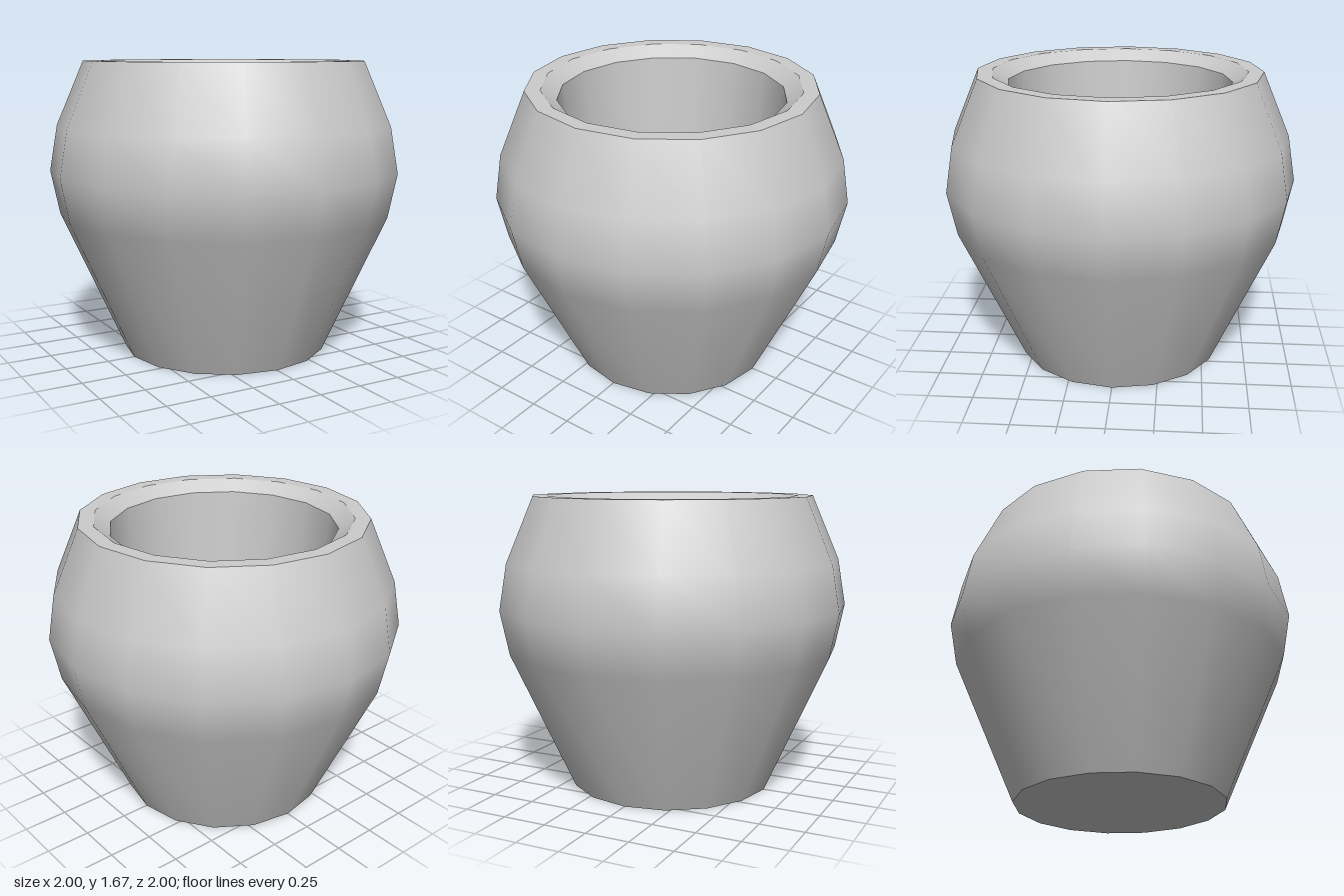
import * as THREE from 'three';

const SIDES = 16;

export function createModel() {
  const group = new THREE.Group();
  group.name = 'pot';
  const material = new THREE.MeshStandardMaterial({ color: 0xcccccc });

  // Each section is a separate lathe, so edges between sections stay sharp.
  const addRing = (name, profile) => {
    const points = profile.map(([r, y]) => new THREE.Vector2(r, y));
    const mesh = new THREE.Mesh(new THREE.LatheGeometry(points, SIDES), material);
    mesh.name = name;
    group.add(mesh);
  };

  // Profiles run from the base centre, up the outside and down the inside.
  addRing('base', [[0, 0], [0.59, 0]]);
  addRing('body', [[0.59, 0], [0.95, 0.8], [1, 1.05], [0.955, 1.31], [0.8, 1.67]]);
  addRing('rim', [[0.8, 1.67], [0.715, 1.67]]);
  addRing('rimBevel', [[0.715, 1.67], [0.63, 1.61]]);
  addRing('innerWall', [[0.63, 1.61], [0.52, 0.15]]);
  addRing('innerFloor', [[0.52, 0.15], [0, 0.15]]);

  return group;
}
